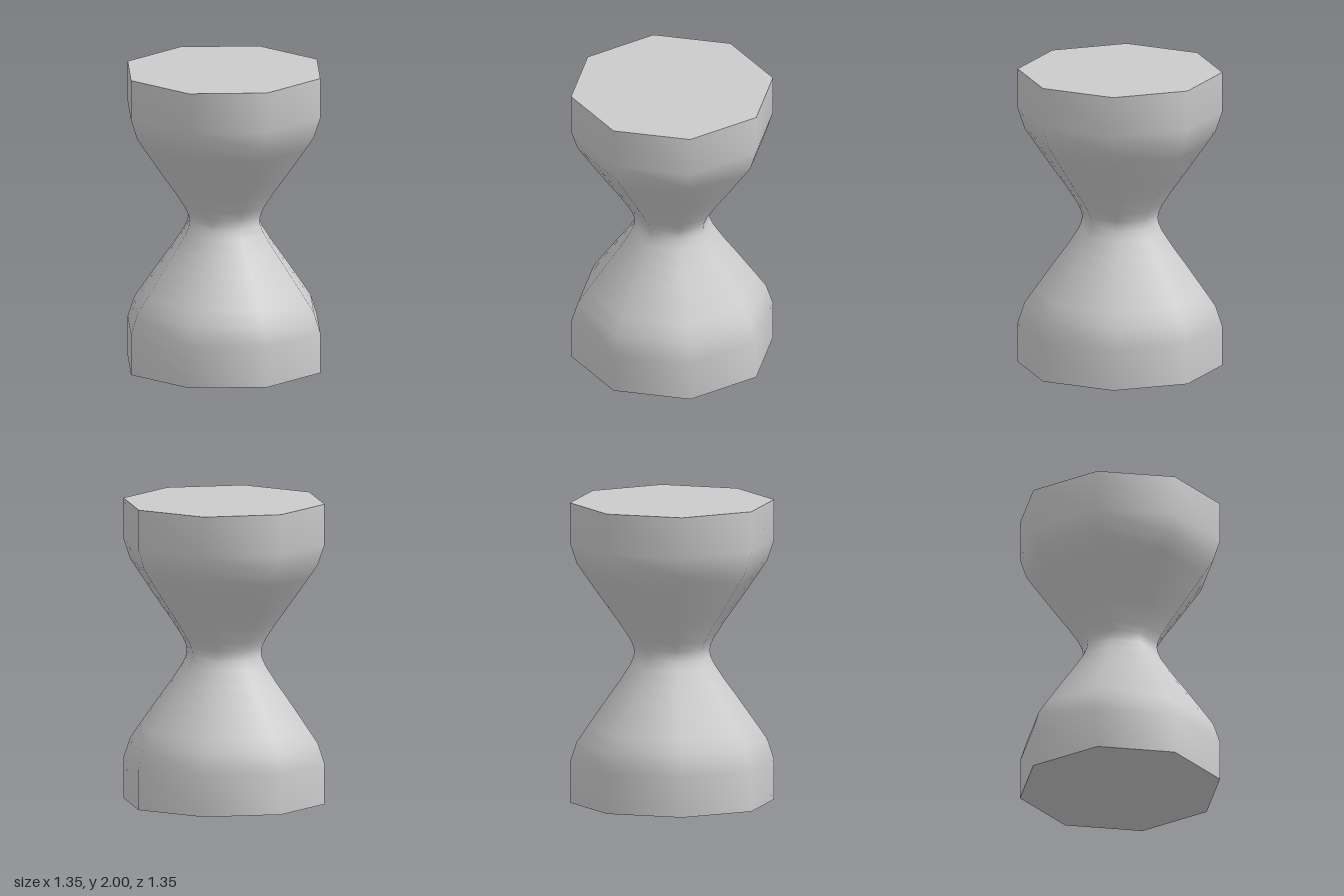
import * as THREE from 'three';

const SIDES = 8;
const RADIUS = 0.675;

export function createModel() {
  const group = new THREE.Group();
  group.name = 'hourglassStand';
  const material = new THREE.MeshStandardMaterial({ color: 0xcccccc });

  // Half profile from the waist outwards: [radius, height above the waist]
  const half = [
    [0.255, 0.035], [0.28, 0.09], [0.352, 0.2], [0.425, 0.3],
    [0.495, 0.4], [0.565, 0.5], [0.63, 0.595], [RADIUS, 0.73], [RADIUS, 1],
  ];
  const lower = half.map(([r, h]) => new THREE.Vector2(r, 1 - h)).reverse();
  const upper = half.map(([r, h]) => new THREE.Vector2(r, 1 + h));
  const profile = [...lower, new THREE.Vector2(0.25, 1), ...upper];

  // Eight-sided body with smooth shading
  const body = new THREE.Mesh(new THREE.LatheGeometry(profile, SIDES), material);
  body.name = 'body';
  group.add(body);

  // Flat ends
  for (const [name, y, turn] of [['topCap', 2, -1], ['bottomCap', 0, 1]]) {
    const cap = new THREE.Mesh(new THREE.CircleGeometry(RADIUS, SIDES), material);
    cap.name = name;
    cap.rotation.x = turn * Math.PI / 2;
    cap.position.y = y;
    group.add(cap);
  }
  return group;
}
